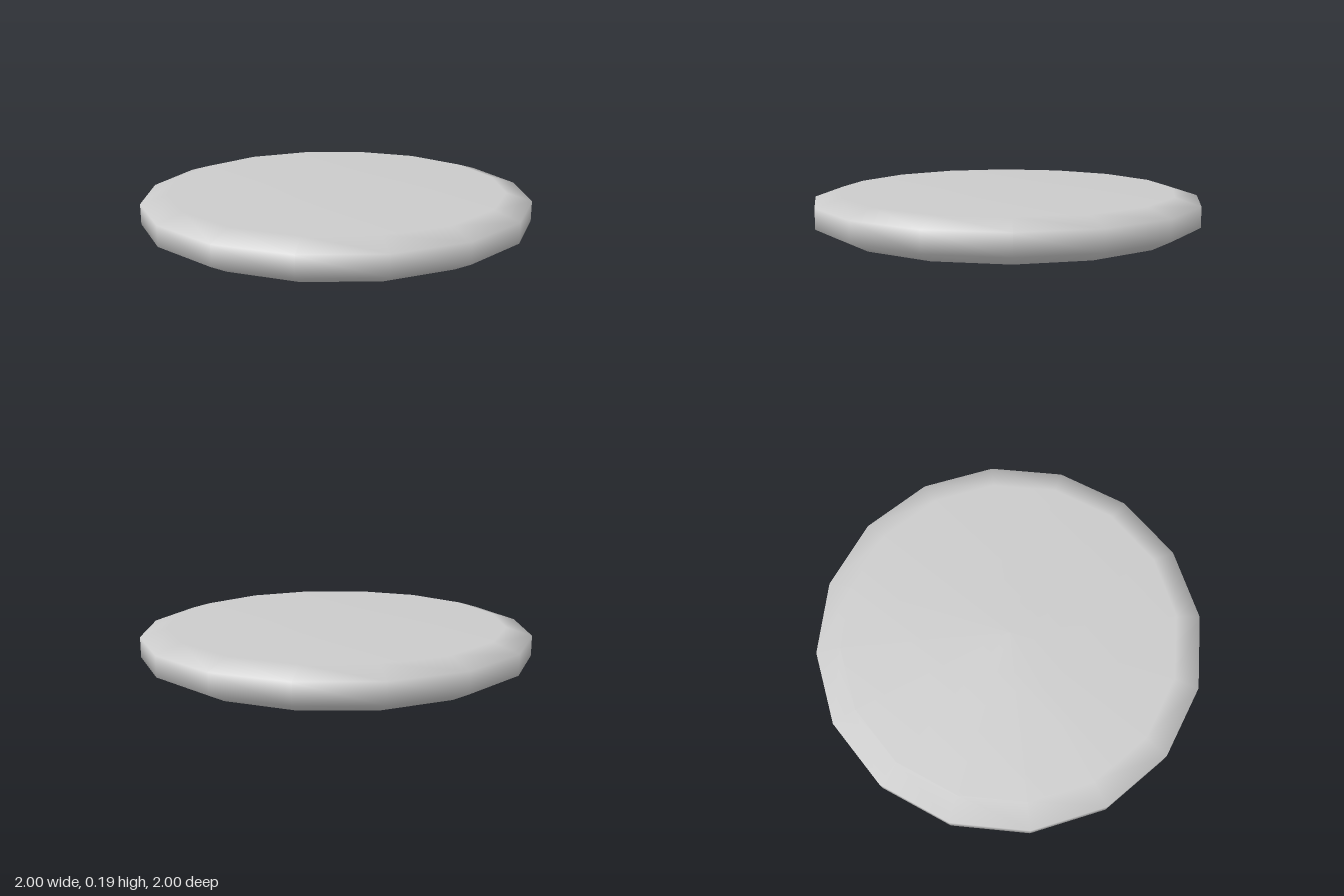
import * as THREE from 'three';

const SIDES = 16;

export function createModel() {
  const group = new THREE.Group();
  group.name = 'shallowLid';
  const material = new THREE.MeshStandardMaterial({ color: 0xcccccc });

  // Revolve a short radius/height profile into a named mesh
  function revolve(name, profile) {
    const points = profile.map(([r, y]) => new THREE.Vector2(r, y));
    const mesh = new THREE.Mesh(new THREE.LatheGeometry(points, SIDES), material);
    mesh.name = name;
    group.add(mesh);
  }

  // Smooth outer skin: lower bevel, upright rim, upper bevel and flat top
  revolve('outerShell', [[0.9, 0], [1, 0.052], [1, 0.155], [0.87, 0.194], [0, 0.194]]);

  // Hollow underside: flat recessed panel and the wall around it
  revolve('recessPanel', [[0, 0.118], [0.9, 0.118]]);
  revolve('recessWall', [[0.9, 0.118], [0.9, 0]]);

  return group;
}
